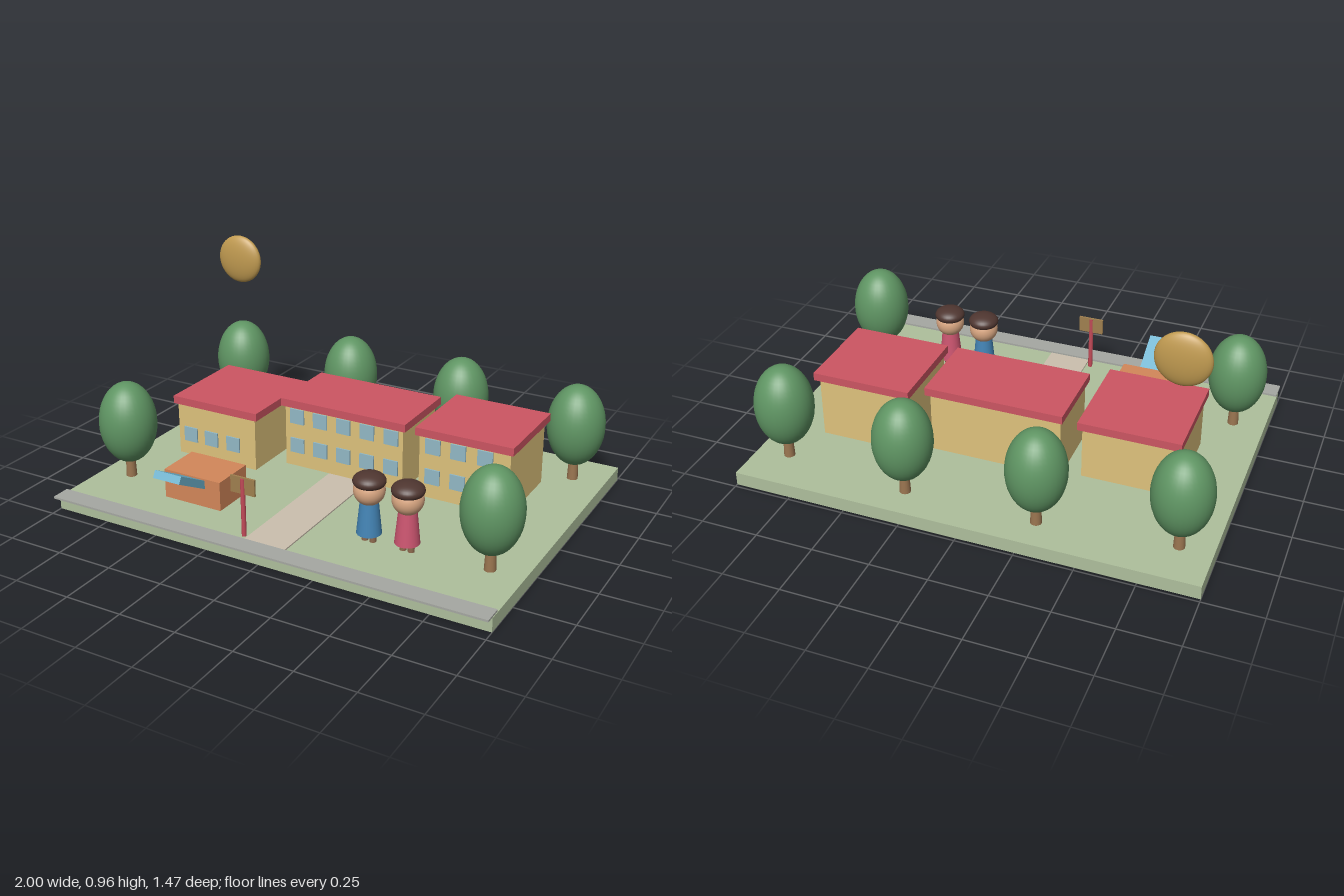
import * as THREE from 'three';

const material = (color, flatShading = false) => new THREE.MeshStandardMaterial({ color, flatShading });
const M = {
  grass: material(0xaebf9c), road: material(0xa6a8a2), path: material(0xcbbfae),
  wall: material(0xdec27c), roof: material(0xcc5562), glass: material(0x92b9c6),
  leaf: material(0x5f9563), trunk: material(0x9a7550), gold: material(0xc09a50),
  orange: material(0xd3875a), slide: material(0x6fb4cf), sign: material(0xa0804f),
  pole: material(0xc24a58), skin: material(0xdba883), hair: material(0x4f3630),
  blue: material(0x4384b5), red: material(0xcc5570), leg: material(0x8f6a4e),
};

export function createModel() {
  const root = new THREE.Group();
  root.name = 'schoolYard';

  const add = (parent, name, geometry, mat, x, y, z) => {
    const mesh = new THREE.Mesh(geometry, mat);
    mesh.name = name;
    mesh.position.set(x, y, z);
    parent.add(mesh);
    return mesh;
  };
  // Box given by its low and high limits on each axis
  const box = (parent, name, mat, [x0, x1], [y0, y1], [z0, z1]) =>
    add(parent, name, new THREE.BoxGeometry(x1 - x0, y1 - y0, z1 - z0), mat,
      (x0 + x1) / 2, (y0 + y1) / 2, (z0 + z1) / 2);
  const group = (name, x = 0, y = 0, z = 0) => {
    const g = new THREE.Group();
    g.name = name;
    g.position.set(x, y, z);
    root.add(g);
    return g;
  };

  // Ground, street and footpath
  box(root, 'ground', M.grass, [-1, 1], [0, 0.06], [-0.735, 0.695]);
  box(root, 'street', M.road, [-1, 1], [0.064, 0.073], [0.65, 0.735]);
  box(root, 'footpath', M.path, [-0.097, 0.092], [0.058, 0.066], [-0.16, 0.66]);

  // Buildings: walls, flat overhanging roof and rows of front windows
  const building = (name, xs, zs, top, columns, rows) => {
    const g = group(name);
    box(g, 'walls', M.wall, xs, [0.09, top], zs);
    box(g, 'roof', M.roof, [xs[0] - 0.015, xs[1] + 0.015], [top, top + 0.035],
      [zs[0] - 0.025, zs[1] + 0.013]);
    for (const x of columns) for (const y of rows)
      box(g, 'window', M.glass, [x - 0.034, x + 0.034], [y - 0.034, y + 0.034],
        [zs[1] - 0.005, zs[1] + 0.007]);
  };
  building('leftWing', [-0.775, -0.37], [-0.275, 0.126], 0.33, [-0.71, -0.6, -0.485], [0.19]);
  building('mainHall', [-0.29, 0.285], [-0.315, -0.002], 0.37,
    [-0.23, -0.115, 0, 0.115, 0.23], [0.19, 0.328]);
  building('rightWing', [0.362, 0.77], [-0.375, -0.002], 0.37, [0.425, 0.54, 0.66], [0.19, 0.328]);

  // Trees: tapered trunk with an egg-shaped crown
  const crown = new THREE.SphereGeometry(1, 32, 24).scale(0.126, 0.184, 0.126);
  const trunk = new THREE.CylinderGeometry(0.018, 0.024, 0.14, 16);
  for (const [x, z] of [[-0.86, -0.537], [-0.29, -0.594], [0.283, -0.594],
    [0.855, -0.537], [-0.86, 0.38], [0.855, 0.38]]) {
    const tree = group('tree', x, 0, z);
    add(tree, 'trunk', trunk, M.trunk, 0, 0.13, 0);
    add(tree, 'crown', crown, M.leaf, 0, 0.316, 0);
  }

  // Flattened sun in the sky
  add(root, 'sun', new THREE.SphereGeometry(1, 32, 24).scale(0.112, 0.112, 0.036),
    M.gold, -0.803, 0.846, -0.448);

  // Play block with a tilted board
  box(root, 'playBlock', M.orange, [-0.6, -0.32], [0.06, 0.19], [0.28, 0.48]);
  const board = add(root, 'slideBoard', new THREE.BoxGeometry(0.13, 0.034, 0.3), M.slide,
    -0.46, 0.183, 0.516);
  board.rotation.x = -0.5;

  // Sign on a post
  add(root, 'signPost', new THREE.CylinderGeometry(0.01, 0.01, 0.255, 16), M.pole, -0.117, 0.1875, 0.61);
  box(root, 'signBoard', M.sign, [-0.173, -0.06], [0.247, 0.32], [0.604, 0.613]);

  // Standing children
  const person = (name, x, clothes) => {
    const g = group(name, x, 0, 0.4);
    for (const s of [-1, 1])
      add(g, 'leg', new THREE.CylinderGeometry(0.014, 0.014, 0.05, 12), M.leg, s * 0.018, 0.083, 0);
    add(g, 'body', new THREE.CylinderGeometry(0.038, 0.052, 0.14, 24), clothes, 0, 0.166, 0);
    add(g, 'head', new THREE.SphereGeometry(0.065, 32, 20), M.skin, 0, 0.287, 0);
    add(g, 'hair', new THREE.SphereGeometry(1, 32, 20).scale(0.068, 0.036, 0.068), M.hair, 0, 0.326, 0);
  };
  person('blueChild', 0.34, M.blue);
  person('redChild', 0.51, M.red);

  return root;
}
